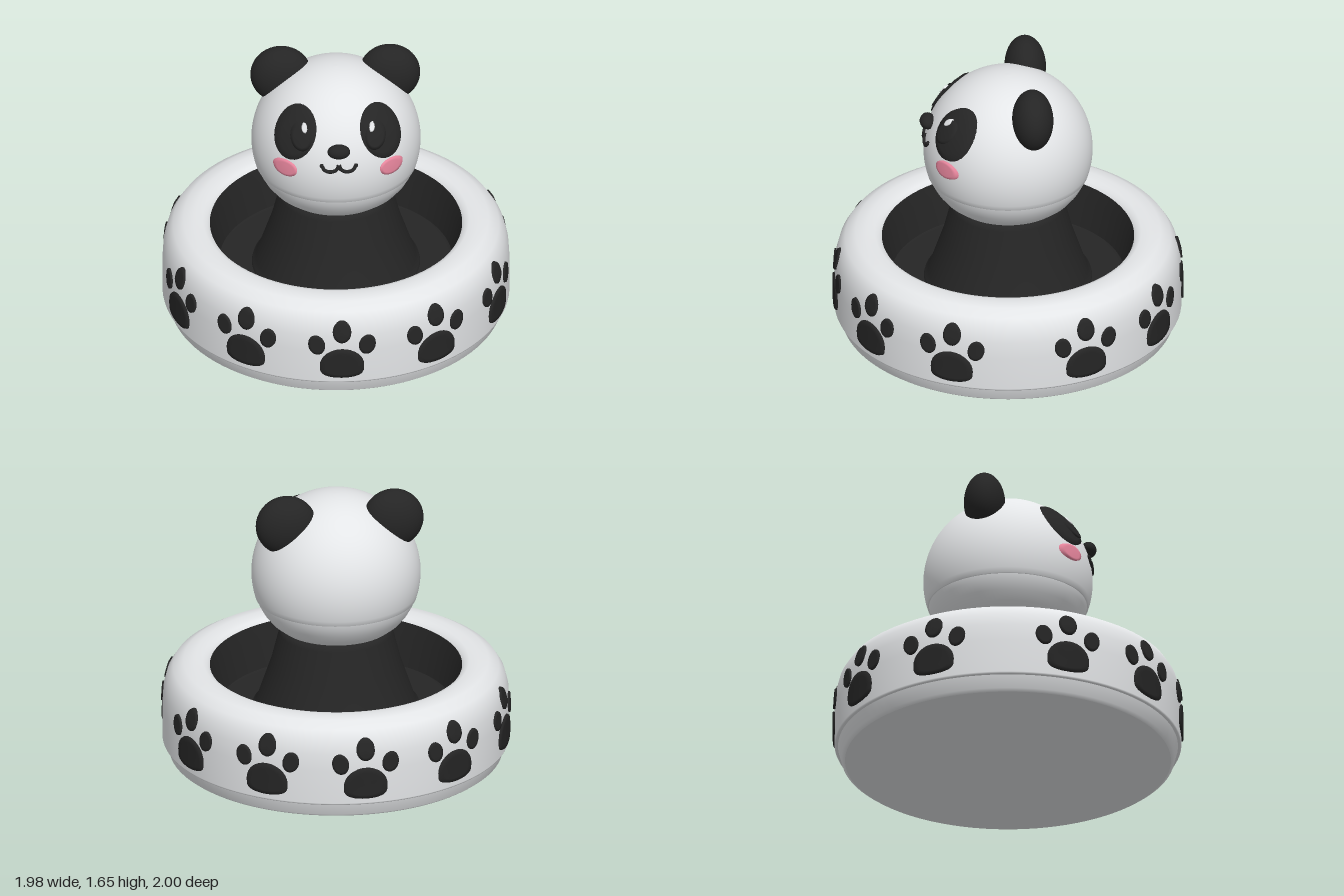
import * as THREE from 'three';

const mat = (name, color) => {
  const m = new THREE.MeshStandardMaterial({ color });
  m.name = name;
  return m;
};

export function createModel() {
  const model = new THREE.Group();
  model.name = 'pandaBowl';
  const white = mat('white', 0xe6e8ea);
  const black = mat('black', 0x252525);
  const pink = mat('pink', 0xee8aa2);

  const add = (name, geometry, material, parent = model) => {
    const mesh = new THREE.Mesh(geometry, material);
    mesh.name = name;
    parent.add(mesh);
    return mesh;
  };
  // Repeating a profile point makes a sharp crease
  const lathe = (pts) => new THREE.LatheGeometry(pts.map(([x, y]) => new THREE.Vector2(x, y)), 96);

  // Thin raised plate wrapped on a surface: outline(t) gives [u, v], wrap(u, v, height) gives a point
  const plate = (cu, cv, outline, wrap, height) => {
    const seg = 32, levels = [0.35, 0.7, 0.94, 1];
    const pos = [...wrap(cu, cv, height)], index = [];
    levels.forEach((s, k) => {
      for (let i = 0; i < seg; i++) {
        const [u, v] = outline((i / seg) * Math.PI * 2);
        pos.push(...wrap(cu + u * s, cv + v * s, s === 1 ? -0.008 : height));
        const j = (i + 1) % seg, a = 1 + k * seg, b = a - seg;
        if (k === 0) index.push(0, a + i, a + j);
        else index.push(b + i, a + i, a + j, b + i, a + j, b + j);
      }
    });
    const g = new THREE.BufferGeometry();
    g.setAttribute('position', new THREE.Float32BufferAttribute(pos, 3));
    g.setIndex(index);
    g.computeVertexNormals();
    return g;
  };
  const ellipse = (a, b, tilt = 0) => (t) => {
    const x = a * Math.cos(t), y = b * Math.sin(t), c = Math.cos(tilt), s = Math.sin(tilt);
    return [x * c - y * s, x * s + y * c];
  };

  // Bowl: white shell with a stepped foot and rounded rim, black hollow
  const wall = [[0.99, 0.1], [0.99, 0.3], [0.984, 0.4], [0.965, 0.475], [0.93, 0.53], [0.87, 0.565]];
  add('bowlShell', lathe([
    [0, 0], [0.93, 0], [0.93, 0], [0.95, 0.015], [0.97, 0.09], [0.97, 0.09], [0.985, 0.09],
    ...wall, [0.81, 0.57], [0.76, 0.566], [0.735, 0.558], [0.72, 0.54],
  ]), white);
  add('bowlInside', lathe([
    [0.72, 0.54], [0.7, 0.46], [0.665, 0.29], [0.665, 0.29], [0.65, 0.28], [0, 0.28],
  ]), black);

  // Neck pedestal
  add('neck', lathe([
    [0.48, 0.28], [0.475, 0.3], [0.455, 0.32], [0.37, 0.57], [0.325, 0.75], [0.315, 0.772],
    [0.295, 0.785], [0.295, 0.785], [0, 0.787],
  ]), black);

  // Paw prints around the wall
  const wallRadius = (y) => {
    for (let i = 1; i < wall.length; i++) {
      const [r0, y0] = wall[i - 1], [r1, y1] = wall[i];
      if (y <= y1) return r0 + ((r1 - r0) * (y - y0)) / (y1 - y0);
    }
    return 0.87;
  };
  const wrapWall = (u, v, h) => {
    const r = wallRadius(v) + h;
    return [r * Math.sin(u), v, r * Math.cos(u)];
  };
  const padOutline = (t) => {
    const s = Math.sin(t);
    return [0.132 * Math.cos(t), s > 0 ? 0.115 * s : -0.08 * Math.sqrt(-s)];
  };
  const pawParts = [
    ['pawPad', 0, 0.205, padOutline],
    ['topToe', 0, 0.425, ellipse(0.056, 0.068)],
    ['sideToe', 0.147, 0.342, ellipse(0.05, 0.063, -0.25)],
    ['sideToe', -0.147, 0.342, ellipse(0.05, 0.063, 0.25)],
  ];
  for (const deg of [0, 33.5, 67, 113, 146.5, 180, 213.5, 247, 293, 326.5]) {
    const paw = new THREE.Group();
    paw.name = 'pawPrint';
    paw.rotation.y = THREE.MathUtils.degToRad(deg);
    for (const [name, u, v, outline] of pawParts) add(name, plate(u, v, outline, wrapWall, 0.01), black, paw);
    model.add(paw);
  }

  // Head: ball with a step at the jaw
  const R = 0.483, CY = 1.118;
  const skull = [];
  for (let i = 0; i <= 28; i++) {
    const a = THREE.MathUtils.lerp(-0.31, Math.PI / 2, i / 28);
    skull.push([Math.max(0, R * Math.cos(a)), CY + R * Math.sin(a)]);
  }
  const head = new THREE.Group();
  head.name = 'head';
  model.add(head);
  add('skull', lathe([
    [0, 0.785], [0.29, 0.785], [0.325, 0.795], [0.375, 0.835], [0.415, 0.885], [0.442, 0.935],
    [0.451, 0.97], [0.451, 0.97], ...skull,
  ]), white, head);

  // Face details, wrapped on the front of the head
  const wrapHead = (x, y, h) => {
    const r = R + h, dy = y - CY;
    return [x, y, Math.sqrt(Math.max(0, r * r - x * x - dy * dy))];
  };
  for (const side of [-1, 1]) {
    const label = side > 0 ? 'left' : 'right';
    const ear = add(label + 'Ear', new THREE.SphereGeometry(1, 40, 28), black, head);
    ear.scale.set(0.175, 0.175, 0.118);
    ear.position.set(side * 0.31, 1.477, -0.12);
    add(label + 'EyePatch', plate(side * 0.243, 1.358, ellipse(0.1, 0.157, side * 0.62), wrapHead, 0.01), black, head);
    add(label + 'Eye', plate(side * 0.213, 1.362, ellipse(0.062, 0.072, side * 0.3), wrapHead, 0.016), black, head);
    add(label + 'EyeGlint', plate(side * 0.193, 1.412, ellipse(0.017, 0.021), wrapHead, 0.021), white, head);
    add(label + 'Cheek', plate(side * 0.303, 1.163, ellipse(0.069, 0.05, side * -0.12), wrapHead, 0.01), pink, head);

    // Half of the curved mouth
    const points = [[0, 1.236], [0.012, 1.207], [0.045, 1.192], [0.08, 1.2], [0.098, 1.225]]
      .map(([x, y]) => new THREE.Vector3(...wrapHead(side * x, y, 0.004)));
    add(label + 'Mouth', new THREE.TubeGeometry(new THREE.CatmullRomCurve3(points), 24, 0.011, 8), black, head);
    const tip = add(label + 'MouthTip', new THREE.SphereGeometry(0.012, 12, 8), black, head);
    tip.position.copy(points[4]);
  }
  const nose = add('nose', new THREE.SphereGeometry(1, 32, 20), black, head);
  nose.scale.set(0.065, 0.042, 0.045);
  nose.position.set(0, 1.315, 0.46);
  return model;
}
